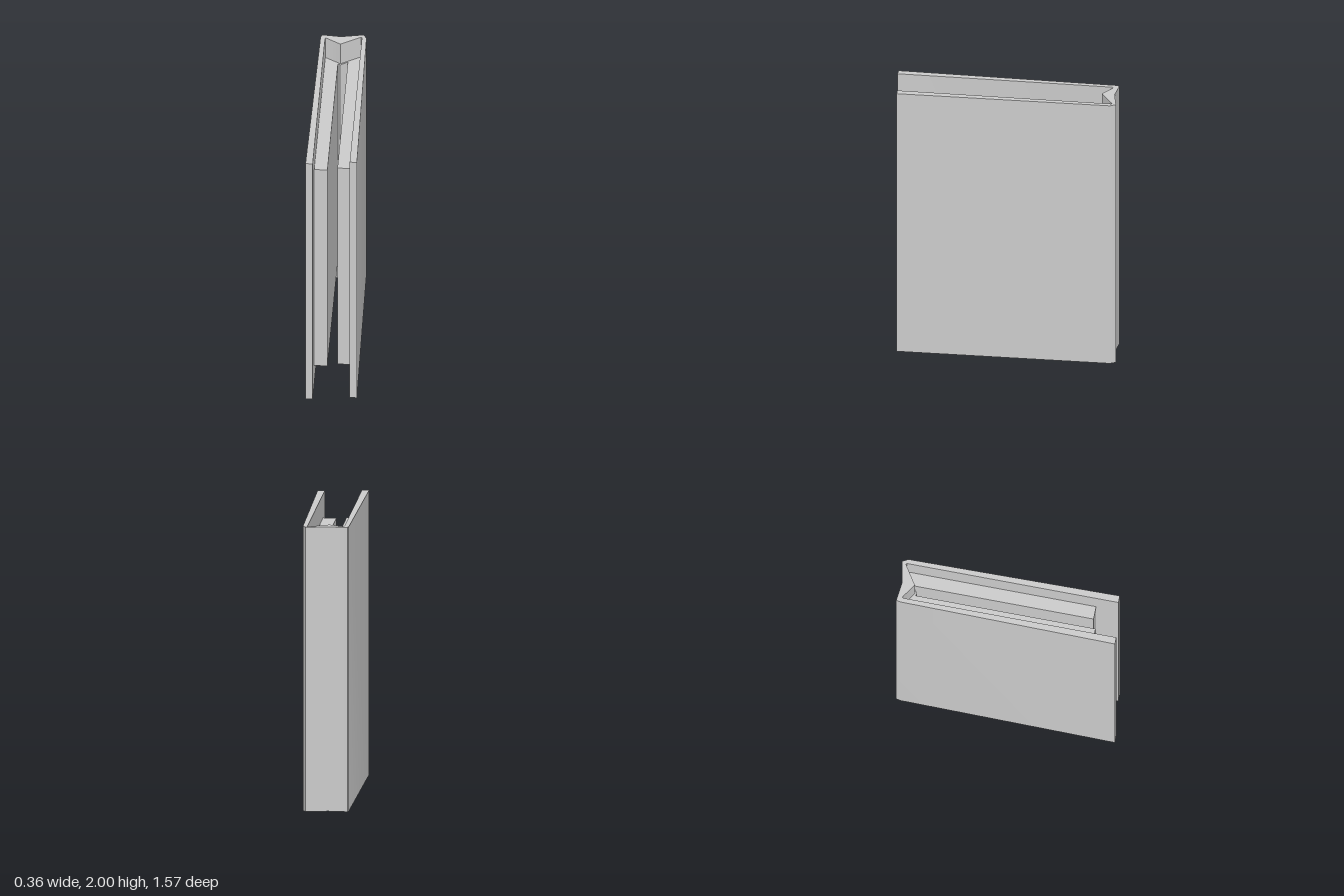
import * as THREE from 'three';
import { toCreasedNormals } from 'three/addons/utils/BufferGeometryUtils.js';

const material = new THREE.MeshStandardMaterial({ color: 0xcccccc });

// Extrude a plan outline of [x, z] points upwards from y0 to y1
function upright(name, outline, y0, y1) {
  const shape = new THREE.Shape(outline.map(([x, z]) => new THREE.Vector2(x, -z)));
  const geometry = new THREE.ExtrudeGeometry(shape, { depth: y1 - y0, bevelEnabled: false });
  geometry.rotateX(-Math.PI / 2).translate(0, y0, 0);
  const mesh = new THREE.Mesh(toCreasedNormals(geometry, 0.6), material);
  mesh.name = name;
  return mesh;
}

export function createModel() {
  const book = new THREE.Group();
  book.name = 'book';

  // Two boards joined by a spine that dips inward
  book.add(upright('cover', [
    [-0.18, 0.78], [-0.13, 0.78], [-0.13, -0.72], [-0.127, -0.73], [-0.12, -0.73],
    [-0.02, -0.665], [0.118, -0.755], [0.125, -0.75], [0.125, 0.745], [0.175, 0.745],
    [0.157, -0.745], [0.135, -0.785], [-0.02, -0.755], [-0.155, -0.77], [-0.162, -0.74],
  ], 0, 2));

  // Two page halves meeting in a fold against the spine
  book.add(upright('pages', [
    [-0.129, 0.615], [-0.037, 0.615], [-0.037, -0.66], [-0.02, -0.648], [0.031, -0.685],
    [0.031, 0.588], [0.124, 0.588], [0.124, -0.745], [0.118, -0.752], [-0.02, -0.662],
    [-0.12, -0.727], [-0.129, -0.72],
  ], 0.17, 1.835));

  return book;
}
